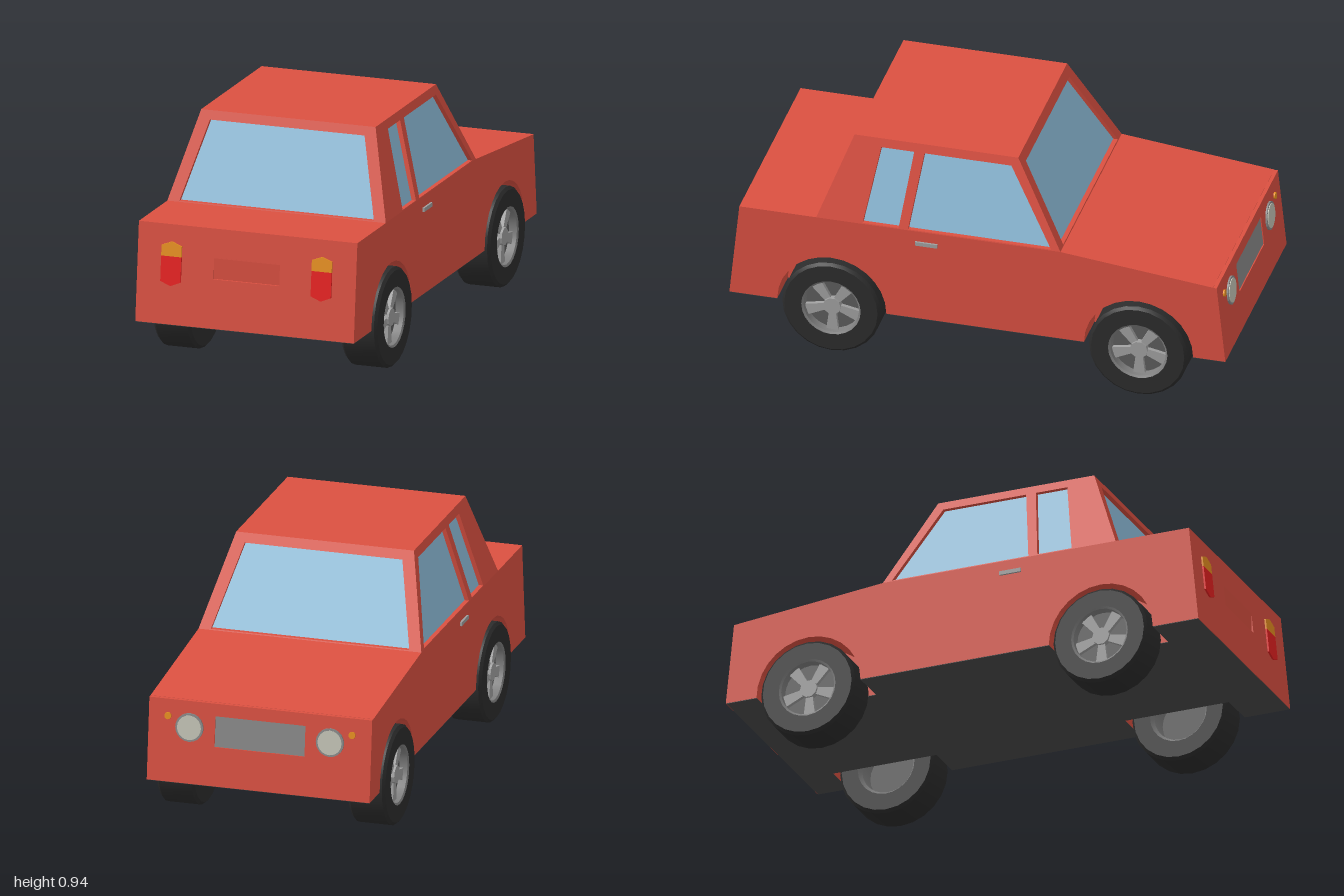
import * as THREE from 'three';
import { toCreasedNormals } from 'three/addons/utils/BufferGeometryUtils.js';
import { ConvexGeometry } from 'three/addons/geometries/ConvexGeometry.js';

const mat = (color, side = THREE.FrontSide) => {
  const m = new THREE.MeshStandardMaterial({ flatShading: true, side });
  m.color.set(color);
  return m;
};
const smooth = (color) => {
  const m = new THREE.MeshStandardMaterial({ side: THREE.DoubleSide });
  m.color.set(color);
  return m;
};
const paint = mat(0xdb5041), glass = mat(0x8fbedb), dark = mat(0x4a4a4a), grey = mat(0x8a8a8a);
const chrome = mat(0xa0a0a0), amber = mat(0xe89020), red = mat(0xe82020), lens = mat(0xc4c4b6);
const rubber = smooth(0x2c2c2c), rimMat = smooth(0x808080);

const BELT = 0.595, ROOF = 0.94, W = 0.455, TOPW = 0.363;
const AXLES = [0.587, -0.65], AXLE_Y = 0.199;

const v2 = (pts) => pts.map(([a, b]) => new THREE.Vector2(a, b));

function add(parent, name, geo, material, x = 0, y = 0, z = 0) {
  const m = new THREE.Mesh(geo, material);
  m.name = name;
  m.position.set(x, y, z);
  parent.add(m);
  return m;
}

// Slab standing at distance d from the centre at height y0, leaning inward by
// k per unit of height, with thickness t inward, turned about y to face a side.
function wall(outline, holes, { d, t, k = 0, y0 = 0, turn = 0 }) {
  const shape = new THREE.Shape(v2(outline));
  holes.forEach((h) => shape.holes.push(new THREE.Path(v2(h))));
  const geo = new THREE.ExtrudeGeometry(shape, { depth: t, bevelEnabled: false });
  const lean = new THREE.Matrix4().set(1, 0, 0, 0, 0, 1, 0, 0, 0, -k, 1, d - t + k * y0, 0, 0, 0, 1);
  return geo.applyMatrix4(lean).rotateY(turn);
}
const rect = (w, y1, y2) => [[-w, y1], [w, y1], [w, y2], [-w, y2]];
const trapezoid = (w1, y1, w2, y2) => [[-w1, y1], [w1, y1], [w2, y2], [-w2, y2]];

const REAR = { d: 1, k: 0.1013, y0: 0.2, turn: 0 };
const FRONT = { d: 1, k: 0.106, y0: 0.2, turn: Math.PI };

function buildBody(car) {
  const upper = [[0.945, BELT], [-0.335, BELT], [-0.95, 0.531], [-0.985, 0.2]];
  // lower edge running from front to rear, with round wheel arches
  const lower = [];
  for (const c of [AXLES[1], AXLES[0]]) {
    for (let i = 0; i <= 14; i++) {
      const a = Math.PI * (1 - i / 14);
      lower.push([c + 0.22 * Math.cos(a), 0.2 + 0.22 * Math.sin(a)]);
    }
  }
  add(car, 'bodyCore', wall([...upper, [0.985, 0.2]].map(([z, y]) => [-z, y]), [],
    { d: 0.3, t: 0.6, turn: Math.PI / 2 }), paint);
  for (const s of [1, -1]) {
    const outline = [...upper, ...lower, [0.985, 0.2]].map(([z, y]) => [-s * z, y]);
    add(car, s > 0 ? 'leftBodySide' : 'rightBodySide',
      wall(outline, [], { d: W, t: W - 0.3, turn: s * Math.PI / 2 }), paint);
  }
  // end panels with openings for the plate and the grille
  add(car, 'rearPanel', wall(rect(W, 0.2, BELT), [rect(0.137, 0.395, 0.478)], { ...REAR, t: 0.015 }), paint);
  add(car, 'plateRecess', new THREE.BoxGeometry(0.28, 0.09, 0.02), paint, 0, 0.4365, 0.9615);
  add(car, 'frontPanel', wall(rect(W, 0.2, 0.53), [rect(0.184, 0.357, 0.48)], { ...FRONT, t: 0.015 }), paint);
  add(car, 'grille', wall(rect(0.184, 0.357, 0.48), [], { ...FRONT, d: 0.996, t: 0.02 }), grey);
  // underside
  add(car, 'floor', new THREE.BoxGeometry(0.6, 0.004, 1.996), dark, 0, 0.2, 0);
  const strips = [[-0.998, AXLES[1] - 0.22], [AXLES[1] + 0.22, AXLES[0] - 0.22], [AXLES[0] + 0.22, 0.998]];
  for (const s of [1, -1]) for (const [a, b] of strips) {
    add(car, 'floorStrip', new THREE.BoxGeometry(0.154, 0.004, b - a), dark, s * 0.377, 0.2, (a + b) / 2);
  }
}

function buildCabin(car) {
  const cabin = new THREE.Group();
  cabin.name = 'cabin';
  car.add(cabin);
  const h = ROOF - BELT, t = 0.022;
  const frame = trapezoid(W, BELT, TOPW, ROOF);
  const opening = trapezoid(0.405, 0.599, 0.322, 0.905);
  add(cabin, 'rearWindowFrame', wall(frame, [opening], { d: 0.65, k: 0.13 / h, y0: BELT, t }), paint);
  add(cabin, 'windscreenFrame', wall(frame, [opening],
    { d: 0.335, k: 0.195 / h, y0: BELT, t, turn: Math.PI }), paint);
  const side = [[0.65, BELT], [-0.335, BELT], [-0.14, ROOF], [0.52, ROOF]];
  const quarter = [[0.463, 0.599], [0.41, 0.905], [0.277, 0.905], [0.318, 0.599]];
  const door = [[0.28, 0.599], [0.236, 0.905], [-0.115, 0.905], [-0.297, 0.599]];
  for (const s of [1, -1]) {
    const flip = (pts) => pts.map(([z, y]) => [-s * z, y]);
    add(cabin, s > 0 ? 'leftWindowFrame' : 'rightWindowFrame', wall(flip(side), [flip(quarter), flip(door)],
      { d: W, k: (W - TOPW) / h, y0: BELT, t, turn: s * Math.PI / 2 }), paint);
    add(cabin, 'doorHandle', new THREE.BoxGeometry(0.016, 0.016, 0.09), chrome, s * 0.455, 0.543, 0.205);
  }
  add(cabin, 'roof', new THREE.BoxGeometry(2 * TOPW, 0.02, 0.66), paint, 0, ROOF - 0.01, 0.19);
  // all panes form one tapered block just inside the frames
  const pts = [], g = 0.018;
  for (const s of [1, -1]) {
    pts.push(new THREE.Vector3(s * (W - g), BELT, 0.65 - g), new THREE.Vector3(s * (W - g), BELT, -0.335 + g),
      new THREE.Vector3(s * (TOPW - g), ROOF - 0.003, 0.52 - g),
      new THREE.Vector3(s * (TOPW - g), ROOF - 0.003, -0.14 + g));
  }
  add(cabin, 'windowGlass', new ConvexGeometry(pts), glass);
}

function buildLights(car) {
  const lamp = { ...REAR, d: 1.007, t: 0.015 };
  for (const s of [1, -1]) {
    const at = (pts) => pts.map(([x, y]) => [s * 0.313 + x, y]);
    add(car, 'tailLight', wall(at([[-0.042, 0.47], [-0.042, 0.37], [0, 0.353], [0.042, 0.37], [0.042, 0.47]]), [], lamp), red);
    add(car, 'rearIndicator', wall(at([[-0.042, 0.47], [0.042, 0.47], [0.042, 0.512], [0, 0.528], [-0.042, 0.512]]), [], lamp), amber);
    // round lamps on the leaning front panel
    const round = (name, r, x, y, out, m) => {
      const geo = new THREE.CylinderGeometry(r, r, 0.02, 20).rotateX(Math.PI / 2 + 0.106);
      add(car, name, geo, m, s * x, y, -(1 - 0.106 * (y - 0.2)) + 0.01 - out);
    };
    round('headlightRim', 0.057, 0.287, 0.425, 0.007, grey);
    round('headlightLens', 0.049, 0.287, 0.425, 0.01, lens);
    round('frontIndicator', 0.014, 0.376, 0.463, 0.007, amber);
  }
}

// Wheel with its axle along x and its outer face toward +x
function buildWheel() {
  const wheel = new THREE.Group();
  const ring = (pts) => toCreasedNormals(new THREE.LatheGeometry(v2(pts), 24).rotateZ(-Math.PI / 2), 0.5);
  add(wheel, 'tyre', ring([[0.12, -0.077], [0.188, -0.077], [0.199, -0.066], [0.199, 0.066],
    [0.188, 0.077], [0.12, 0.077]]), rubber);
  add(wheel, 'rim', ring([[0.12, 0.077], [0.112, 0.072], [0.108, 0.03], [0.108, -0.06], [0.12, -0.077]]), rimMat);
  add(wheel, 'rimDisc', new THREE.CylinderGeometry(0.11, 0.11, 0.02, 24).rotateZ(Math.PI / 2), mat(0x5c5c5c), 0.03);
  add(wheel, 'hub', new THREE.CylinderGeometry(0.036, 0.036, 0.03, 10).rotateZ(Math.PI / 2), chrome, 0.05);
  for (let i = 0; i < 5; i++) {
    const spoke = wall([[-0.014, -0.03], [0.014, -0.03], [0.024, -0.109], [-0.024, -0.109]], [],
      { d: 0.056, t: 0.02, turn: Math.PI / 2 });
    add(wheel, 'spoke', spoke, chrome).rotation.x = (i * 2 * Math.PI) / 5;
  }
  return wheel;
}

export function createModel() {
  const car = new THREE.Group();
  car.name = 'car';
  buildBody(car);
  buildCabin(car);
  buildLights(car);
  for (const s of [1, -1]) {
    AXLES.forEach((z, i) => {
      const wheel = buildWheel();
      wheel.name = (s > 0 ? 'left' : 'right') + (i ? 'FrontWheel' : 'RearWheel');
      wheel.position.set(s * 0.391, AXLE_Y, z);
      if (s < 0) wheel.rotation.y = Math.PI;
      car.add(wheel);
    });
  }
  return car;
}
